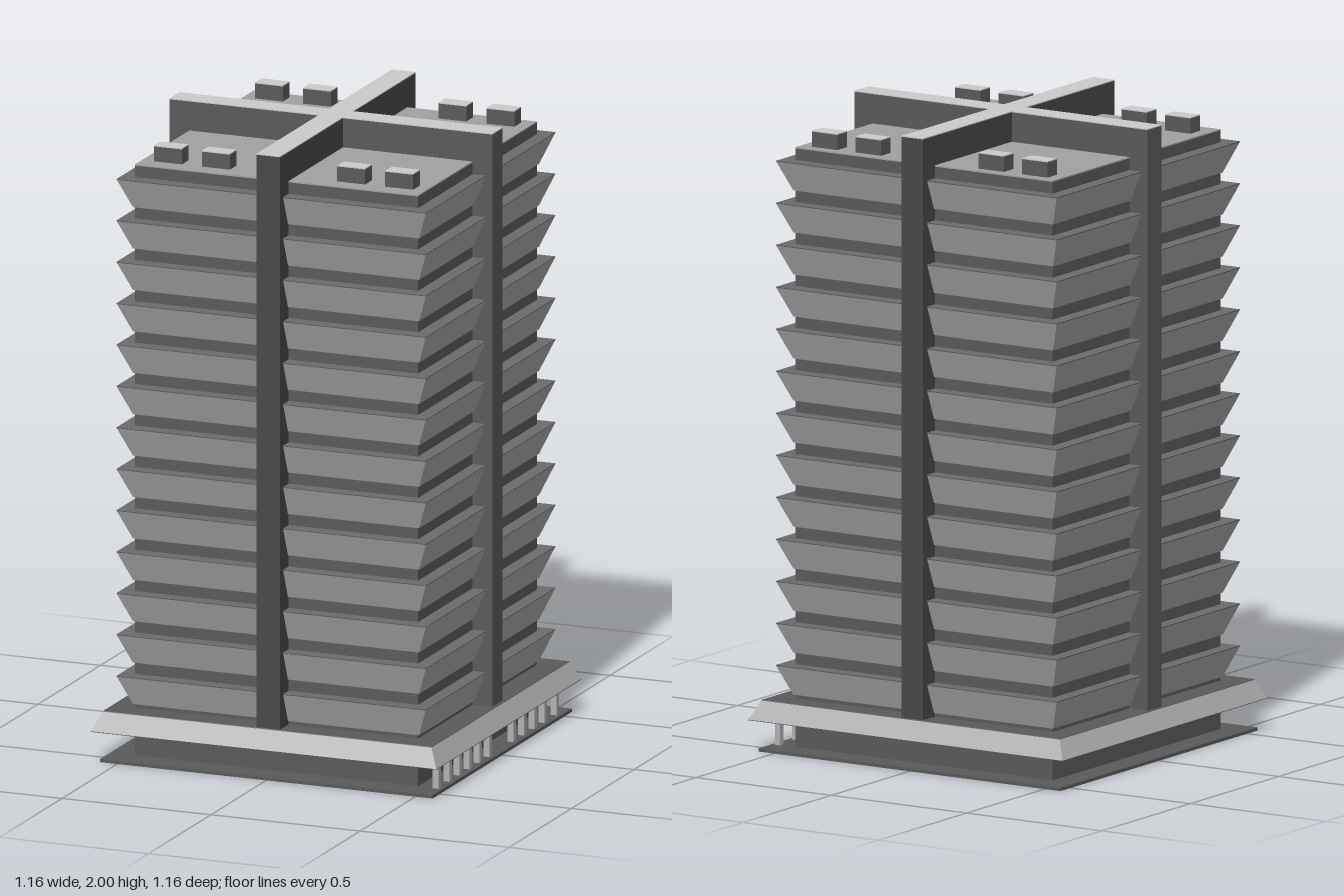
import * as THREE from 'three';

const grey = (color) => new THREE.MeshStandardMaterial({ color, flatShading: true });
const light = grey(0xcccccc);
const panel = grey(0xb2b2b2);
const roofing = grey(0xa2a2a2);
const ledge = grey(0x6c6c6c);
const dark = grey(0x5a5a5a);
const darkest = grey(0x484848);

export function createModel() {
  const tower = new THREE.Group();
  tower.name = 'tower';

  const add = (name, material, geometry, x, y, z) => {
    const mesh = new THREE.Mesh(geometry, material);
    mesh.name = name;
    mesh.position.set(x, y, z);
    tower.add(mesh);
  };

  // Box given by its lower and upper corner
  const box = (name, material, [x0, y0, z0], [x1, y1, z1]) =>
    add(name, material, new THREE.BoxGeometry(x1 - x0, y1 - y0, z1 - z0),
      (x0 + x1) / 2, (y0 + y1) / 2, (z0 + z1) / 2);

  // Dark box with a thin light cap on top
  const cappedBox = (name, material, [x0, y0, z0], [x1, y1, z1]) => {
    const capY = y1 - 0.003;
    box(name, material, [x0, y0, z0], [x1, capY, z1]);
    box(name + 'Cap', light, [x0, capY, z0], [x1, y1, z1]);
  };

  // Square slab with sloping sides, given by its half widths
  const slab = (name, material, bottomHalf, topHalf, y0, y1) => {
    const geometry = new THREE.CylinderGeometry(
      topHalf * Math.SQRT2, bottomHalf * Math.SQRT2, y1 - y0, 4);
    geometry.rotateY(Math.PI / 4);
    add(name, material, geometry, 0, (y0 + y1) / 2, 0);
  };

  // Ground plate, recessed core and roof
  slab('groundPlate', dark, 0.558, 0.558, 0, 0.01);
  slab('core', dark, 0.475, 0.475, 0.01, 1.9);
  slab('roof', roofing, 0.475, 0.475, 1.9, 1.904);

  // Sloping canopy with a dark soffit and deck
  slab('canopySoffit', dark, 0.58, 0.58, 0.1, 0.102);
  slab('canopy', panel, 0.58, 0.552, 0.102, 0.161);
  slab('canopyDeck', dark, 0.552, 0.551, 0.161, 0.163);

  // Flared balcony band with a ledge on each storey
  for (let i = 0; i < 13; i++) {
    const y = 0.175 + i * 0.1327;
    slab('balconyBand', panel, 0.48, 0.518, y, y + 0.093);
    slab('balconyLedge', ledge, 0.518, 0.519, y + 0.093, y + 0.096);
  }

  // Crossing fin walls that divide the tower into quarters
  cappedBox('finWallAcross', dark, [-0.542, 0.16, -0.04], [0.542, 2, 0.04]);
  cappedBox('finWallAlong', darkest, [-0.04, 0.16, -0.542], [0.04, 2, 0.542]);

  // Rooftop units, a pair on each quarter
  for (const side of [-1, 1]) {
    for (const x of [0.227, 0.388]) {
      for (const z of [-0.416, 0.393]) {
        cappedBox('roofUnit', dark,
          [side * x - 0.047, 1.9, z - 0.027], [side * x + 0.047, 1.955, z + 0.027]);
      }
    }
  }

  // Entrance colonnade on the left side, with a step in the gap
  for (const z of [0.47, 0.38, 0.3, 0.22, 0.14, 0.06, -0.13, -0.215, -0.297, -0.377, -0.475]) {
    box('column', panel, [0.525, 0.01, z - 0.01], [0.545, 0.1, z + 0.01]);
  }
  box('entranceStep', darkest, [0.475, 0.01, -0.04], [0.483, 0.04, 0.04]);

  return tower;
}
